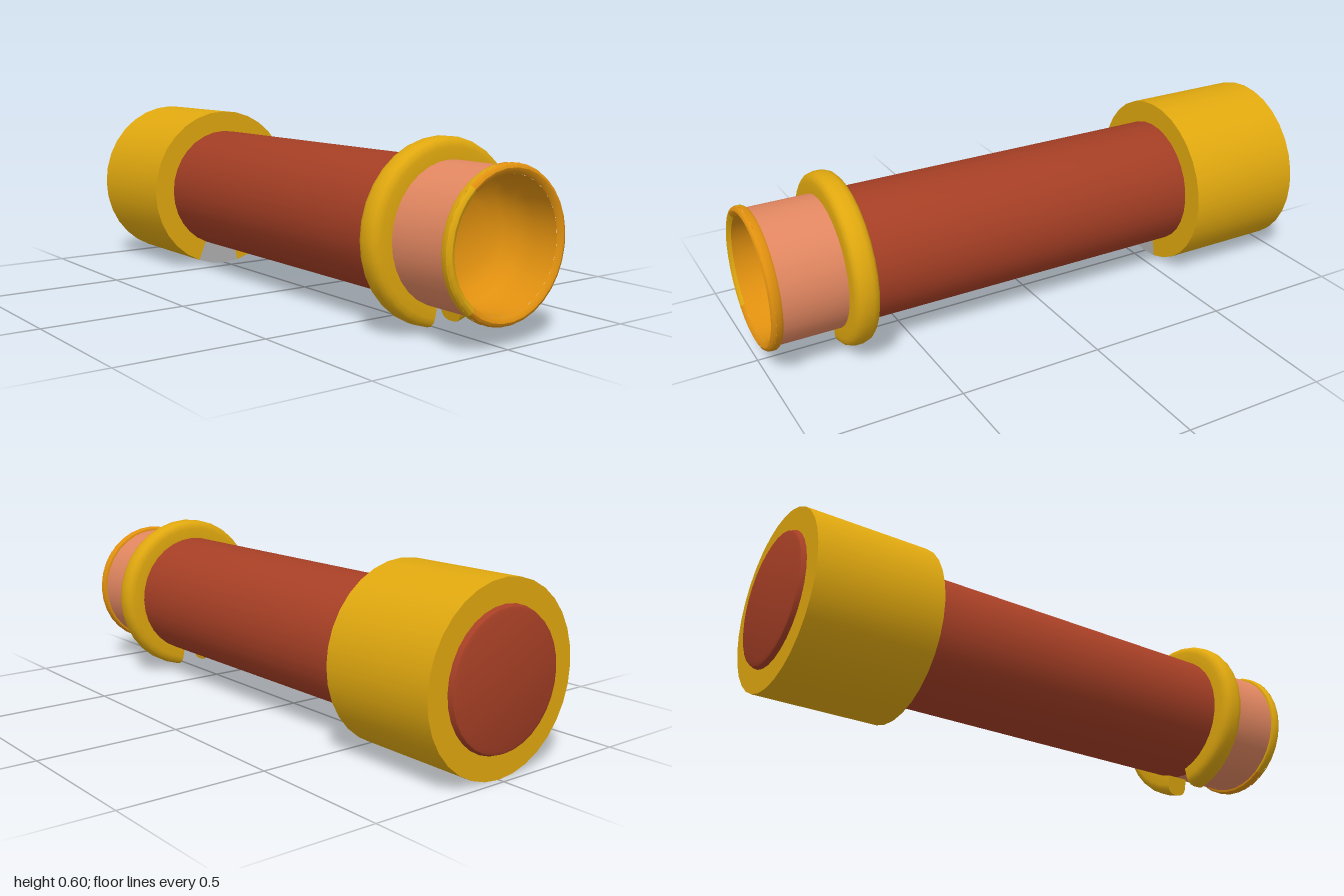
import * as THREE from 'three';
import { toCreasedNormals } from 'three/addons/utils/BufferGeometryUtils.js';

const SEGMENTS = 32;
const STEP = (Math.PI * 2) / SEGMENTS;

function material(name, color, side = THREE.FrontSide) {
  const m = new THREE.MeshStandardMaterial({ color, side });
  m.name = name;
  return m;
}

export function createModel() {
  const gold = material('gold', 0xe0a80f, THREE.DoubleSide);
  const red = material('brick red', 0xa63f25);
  const salmon = material('salmon', 0xe28761);
  const orange = material('orange', 0xe0900f);
  const grey = material('grey', 0xb0b0b0);

  // Parts are turned around y, then the barrel is laid along x.
  // Step 0 faces +z and step 8 faces down.
  const barrel = new THREE.Group();
  barrel.name = 'barrel';
  barrel.rotation.z = -Math.PI / 2;
  barrel.position.y = 0.302;

  // Profile points are [radius, position along the barrel].
  function turn(name, profile, mat, start = 0, count = SEGMENTS, crease = 0.7) {
    const points = profile.map(([r, x]) => new THREE.Vector2(r, x));
    const lathe = new THREE.LatheGeometry(points, count, start * STEP, count * STEP);
    const mesh = new THREE.Mesh(toCreasedNormals(lathe, crease), mat);
    mesh.name = name;
    barrel.add(mesh);
  }

  // Main tube with its bevelled closed end
  turn('tube', [[0, -1], [0.205, -1], [0.218, -0.995], [0.225, -0.98], [0.225, 0.7]], red);
  turn('neck', [[0.225, 0.7], [0.225, 0.97]], salmon);

  // Wide end sleeve, with a grey patch in its inner face
  turn('sleeve', [[0.22, -0.98], [0.302, -0.98], [0.302, -0.55]], gold);
  turn('sleeveFace', [[0.302, -0.55], [0.22, -0.55]], gold, 9, 29);
  turn('sleevePatch', [[0.302, -0.55], [0.22, -0.55]], grey, 6, 3);

  // Split collar, open at the bottom
  const collar = [
    [0.22, 0.664], [0.262, 0.664], [0.278, 0.668], [0.288, 0.677], [0.293, 0.692],
    [0.293, 0.72], [0.288, 0.735], [0.278, 0.744], [0.262, 0.748], [0.22, 0.748],
  ];
  turn('collar', collar, gold, 9, 30);
  const section = new THREE.ShapeGeometry(new THREE.Shape(collar.map(([r, x]) => new THREE.Vector2(r, x))));
  for (const step of [7, 9]) {
    const cap = new THREE.Mesh(section, gold);
    cap.name = 'collarEnd';
    cap.rotation.y = step * STEP - Math.PI / 2;
    barrel.add(cap);
  }

  // Rounded mouth rim, gold on the front side and orange elsewhere
  const rimOuter = [[0.222, 0.962], [0.232, 0.964], [0.237, 0.971], [0.237, 0.988]];
  const rimFace = [[0.237, 0.988], [0.233, 0.996], [0.224, 1], [0.214, 0.997], [0.206, 0.988]];
  turn('rimOuterGold', rimOuter, gold, -7, 12);
  turn('rimOuter', rimOuter, orange, 5, 20);
  turn('rimFaceGold', rimFace, gold, -4.5, 9);
  turn('rimFace', rimFace, orange, 4.5, 23);

  // Hollow mouth
  turn('mouth', [
    [0.206, 0.988], [0.204, 0.9], [0.193, 0.85], [0.165, 0.81], [0.12, 0.785], [0.06, 0.77], [0, 0.766],
  ], orange);

  const model = new THREE.Group();
  model.name = 'model';
  model.add(barrel);
  return model;
}
